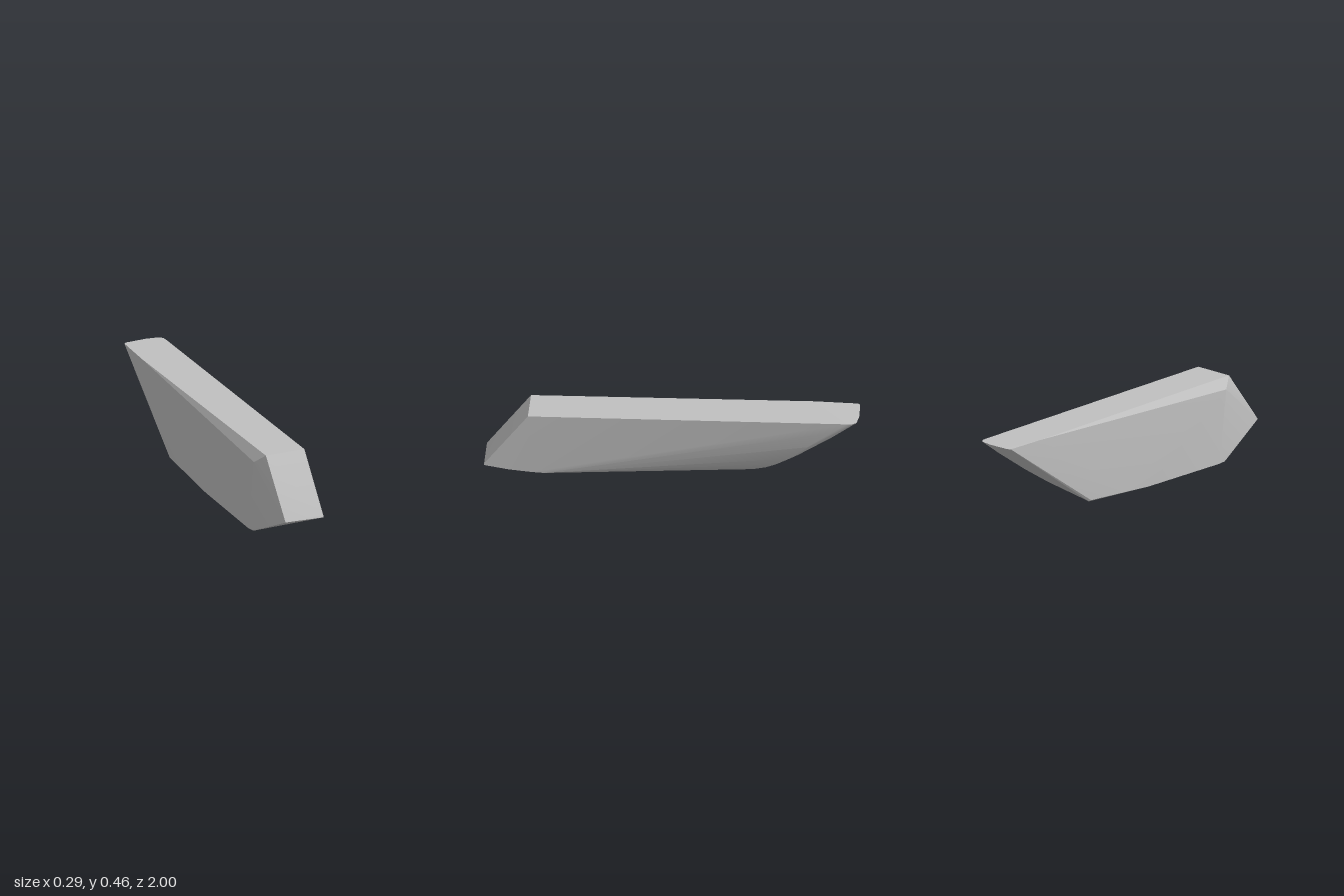
import * as THREE from 'three';
import { ConvexGeometry } from 'three/addons/geometries/ConvexGeometry.js';
import { toCreasedNormals } from 'three/addons/utils/BufferGeometryUtils.js';

export function createModel() {
  const group = new THREE.Group();
  const gray = new THREE.MeshStandardMaterial({ color: 0xc0c0c0 });
  gray.name = 'plain gray';

  // flat top deck, tapering to a rounded rear edge
  const deck = [
    [-0.088, 0.455, 0.765], [0.137, 0.455, 0.765], [0.09, 0.455, -0.94],
    [0.086, 0.455, -0.97], [0.07, 0.454, -0.99], [0, 0.454, -1],
    [-0.12, 0.454, -0.995], [-0.135, 0.454, -0.985], [-0.139, 0.455, -0.75],
  ];
  // lower edge of the sloping front face
  const nose = [[-0.078, 0.155, 1], [0.145, 0.148, 1], [0.144, 0.162, 0.995]];
  // rounded lower corner on the left side
  const chine = [[0.143, 0.126, 0.87], [0.141, 0.114, 0.75], [0.138, 0.109, 0.68], [0.125, 0.103, 0.66]];
  // keel along the right side, with a soft underside
  const keel = [
    [-0.128, 0, 0.69], [-0.138, 0, 0.64], [-0.145, 0.003, 0.08], [-0.138, 0, 0.08],
    [-0.145, 0.03, -0.37], [-0.138, 0.024, -0.38], [-0.12, 0.028, -0.38],
    [-0.11, 0.004, 0.69], [-0.075, 0.014, 0.69], [-0.146, 0.02, -0.1],
  ];
  // right side bevel
  const bevel = [[-0.129, 0.4, 0.7]];
  // rounded rim where the slanted rear meets the left side
  const rearRim = [
    [0.09, 0.4, -0.86], [0.083, 0.3, -0.73], [0.068, 0.215, -0.63],
    [0.045, 0.165, -0.56], [0.015, 0.125, -0.5], [-0.05, 0.073, -0.43],
    [0.07, 0.36, -0.86], [0.05, 0.23, -0.675], [0.005, 0.14, -0.545],
  ];

  const points = [deck, nose, chine, keel, bevel, rearRim].flat().map((p) => new THREE.Vector3(...p));
  const body = new THREE.Mesh(toCreasedNormals(new ConvexGeometry(points), 0.4), gray);
  body.name = 'slantedBlock';
  group.add(body);
  return group;
}
